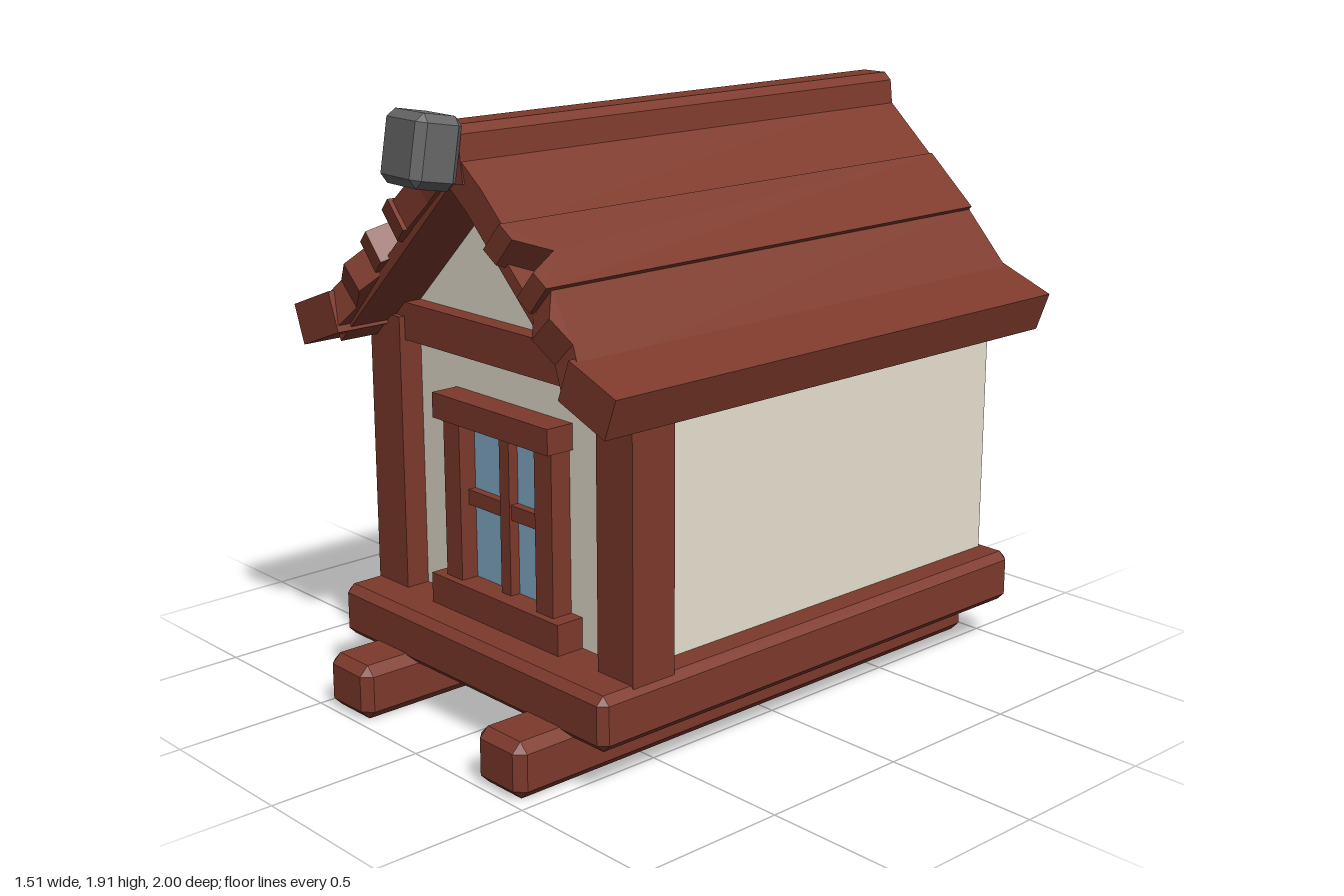
import * as THREE from 'three';
import { ConvexGeometry } from 'three/addons/geometries/ConvexGeometry.js';

const mat = (name, color) => {
  const m = new THREE.MeshStandardMaterial({ color });
  m.name = name;
  return m;
};

// Box with every edge cut off at 45 degrees
function chamferedBox(w, h, d, c) {
  const half = [w / 2, h / 2, d / 2];
  const points = [];
  for (const sx of [-1, 1]) for (const sy of [-1, 1]) for (const sz of [-1, 1]) {
    for (let axis = 0; axis < 3; axis++) {
      const p = half.map((v, i) => (i === axis ? v : v - c));
      points.push(new THREE.Vector3(sx * p[0], sy * p[1], sz * p[2]));
    }
  }
  return new ConvexGeometry(points);
}

// Outline in x and y, pushed along z from z0 to z1
function prism(points, z0, z1) {
  const shape = new THREE.Shape(points.map(([x, y]) => new THREE.Vector2(x, y)));
  return new THREE.ExtrudeGeometry(shape, { depth: z1 - z0, bevelEnabled: false }).translate(0, 0, z0);
}

export function createModel() {
  const wood = mat('red brown wood', 0x7e3a2c);
  const plaster = mat('cream plaster', 0xe8e1d1);
  const glass = mat('blue glass', 0x86afcd);
  const stone = mat('grey stone', 0x666666);

  const model = new THREE.Group();
  model.name = 'woodenHut';

  const add = (name, geometry, material, parent = model) => {
    const mesh = new THREE.Mesh(geometry, material);
    mesh.name = name;
    parent.add(mesh);
    return mesh;
  };

  // Block given by its limits; a bevel above zero chamfers the edges
  const block = (name, material, [x0, x1], [y0, y1], [z0, z1], bevel = 0, parent = model) => {
    const size = [x1 - x0, y1 - y0, z1 - z0];
    const geo = bevel ? chamferedBox(...size, bevel) : new THREE.BoxGeometry(...size);
    const mesh = add(name, geo, material, parent);
    mesh.position.set((x0 + x1) / 2, (y0 + y1) / 2, (z0 + z1) / 2);
    return mesh;
  };

  // Skids and base
  block('leftSkid', wood, [0.265, 0.472], [0, 0.175], [-0.965, 0.985], 0.03);
  block('rightSkid', wood, [-0.476, -0.27], [0, 0.175], [-0.965, 0.985], 0.03);
  block('base', wood, [-0.632, 0.628], [0.145, 0.315], [-1, 0.81], 0.025);

  // Walls with both gables
  add('walls', prism([
    [-0.525, 0.3], [0.525, 0.3], [0.525, 1.19], [0, 1.7], [-0.525, 1.19],
  ], -0.96, 0.6), plaster);

  // Corner posts and the beams under the roof
  for (const s of [-1, 1]) {
    const span = (a, b) => (s > 0 ? [a, b] : [-b, -a]);
    block('frontPost', wood, span(0.46, 0.612), [0.3, 1.2], [0.52, 0.68]);
    block('sideBeam', wood, span(0.48, 0.55), [1.11, 1.2], [-0.97, 0.6]);
  }
  block('frontBeam', wood, [-0.5, 0.5], [1.125, 1.245], [0.56, 0.66]);
  block('backBeam', wood, [-0.55, 0.55], [1.125, 1.245], [-0.98, -0.9]);

  // Window
  const win = new THREE.Group();
  win.name = 'window';
  model.add(win);
  block('glass', glass, [-0.2, 0.19], [0.4, 0.93], [0.602, 0.611], 0, win);
  block('leftJamb', wood, [0.172, 0.25], [0.4, 0.93], [0.58, 0.67], 0, win);
  block('rightJamb', wood, [-0.262, -0.185], [0.4, 0.93], [0.58, 0.67], 0, win);
  block('lintel', wood, [-0.282, 0.265], [0.92, 1.0], [0.58, 0.695], 0, win);
  block('sill', wood, [-0.308, 0.3], [0.31, 0.412], [0.58, 0.695], 0, win);
  block('mullion', wood, [-0.023, 0.022], [0.41, 0.925], [0.59, 0.645], 0, win);
  block('crossbar', wood, [-0.19, 0.175], [0.652, 0.7], [0.59, 0.638], 0, win);

  // Roof planks: top and bottom edge of the outer face, thickness,
  // back end, and the z of the front end from top edge to bottom edge
  const planks = [
    { name: 'upperPlank', a: [0.05, 1.79], b: [0.265, 1.6], t: 0.1, back: -0.965, front: [0.84, 0.83, 0.835] },
    { name: 'middlePlank', a: [0.26, 1.615], b: [0.435, 1.46], t: 0.11, back: -0.965, front: [0.85, 0.84, 0.73, 0.84, 0.83] },
    { name: 'lowerPlank', a: [0.42, 1.455], b: [0.605, 1.26], t: 0.105, back: -0.965, front: [0.8, 0.86, 0.83, 0.86] },
    { name: 'eavePlank', a: [0.565, 1.292], b: [0.755, 1.22], t: 0.13, back: -0.975, front: [0.865, 0.865] },
  ];
  const roof = new THREE.Group();
  roof.name = 'roof';
  model.add(roof);
  for (const s of [-1, 1]) {
    for (const { name, a, b, t, back, front } of planks) {
      const [p, q] = s > 0 ? [a, b] : [b, a];
      const ends = s > 0 ? front : [...front].reverse();
      const across = new THREE.Vector3(s * (q[0] - p[0]), q[1] - p[1], 0);
      const width = across.length();
      across.normalize();
      const along = new THREE.Vector3(0, 0, 1);
      const inward = across.clone().cross(along);
      const shape = new THREE.Shape([
        new THREE.Vector2(width, back),
        new THREE.Vector2(0, back),
        ...ends.map((z, i) => new THREE.Vector2((width * i) / (ends.length - 1), z)),
      ]);
      const geo = new THREE.ExtrudeGeometry(shape, { depth: t, bevelEnabled: false });
      geo.applyMatrix4(new THREE.Matrix4().makeBasis(across, along, inward).setPosition(s * p[0], p[1], 0));
      add(name, geo, wood, roof);
    }
  }

  // Straight lining under the planks
  add('roofLining', prism([
    [-0.58, 1.125], [0, 1.685], [0.58, 1.125], [0.6, 1.16], [0, 1.74], [-0.6, 1.16],
  ], -0.962, 0.815), wood, roof);

  // Ridge cap with bevelled top
  add('ridgeCap', prism([
    [0, 1.69], [0.09, 1.7], [0.08, 1.77], [0.072, 1.838], [0.045, 1.862],
    [-0.045, 1.862], [-0.075, 1.838], [-0.085, 1.77], [-0.09, 1.7],
  ], -0.965, 0.84), wood, roof);

  // Tilted stone at the front of the ridge
  const ridgeStone = block('ridgeStone', stone, [-0.108, 0.098], [1.69, 1.9], [0.835, 0.985], 0.025);
  ridgeStone.rotation.set(-0.17, -0.1, 0);

  return model;
}
